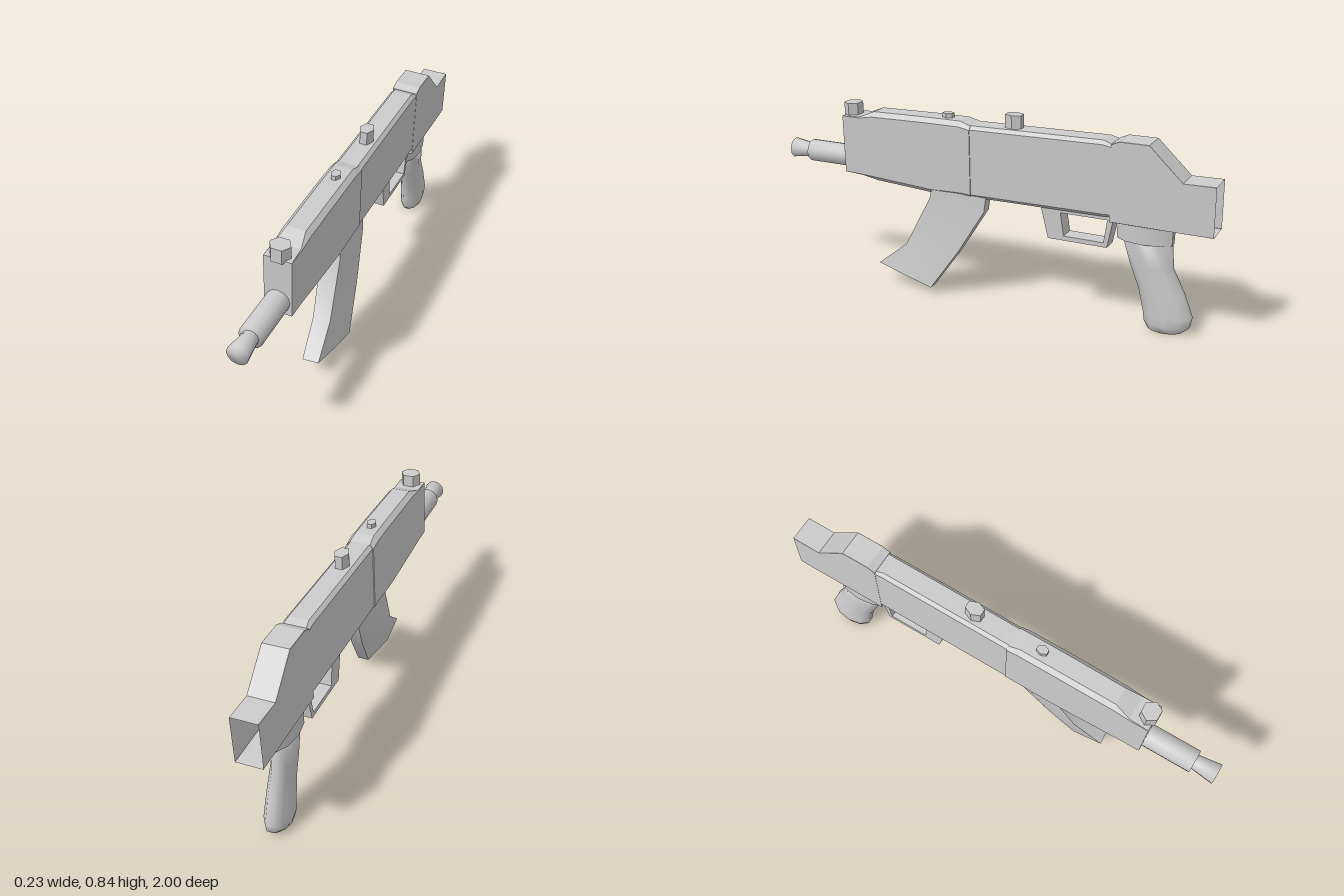
import * as THREE from 'three';
import { toCreasedNormals } from 'three/addons/utils/BufferGeometryUtils.js';

const smooth = new THREE.MeshStandardMaterial({ color: 0xcccccc, side: THREE.DoubleSide });
const flat = new THREE.MeshStandardMaterial({ color: 0xcccccc, side: THREE.DoubleSide, flatShading: true });

// Skin a list of equal-length rings, optionally closing either end
function loft(rings, capStart = true, capEnd = true) {
  const n = rings[0].length, last = (rings.length - 1) * n, index = [];
  for (let i = 0; i < rings.length - 1; i++) {
    for (let j = 0; j < n; j++) {
      const a = i * n + j, b = i * n + (j + 1) % n;
      index.push(a, b, a + n, b, b + n, a + n);
    }
  }
  for (let j = 1; j < n - 1; j++) {
    if (capStart) index.push(0, j + 1, j);
    if (capEnd) index.push(last, last + j, last + j + 1);
  }
  const g = new THREE.BufferGeometry();
  g.setAttribute('position', new THREE.Float32BufferAttribute(rings.flat(2), 3));
  g.setIndex(index);
  g.computeVertexNormals();
  return g;
}

// Upright box section with chamfered corners, clockwise seen from the front
function section(z, bottom, top, w, c) {
  return [
    [-w, bottom + c, z], [-w, top - c, z], [-w + c, top, z], [w - c, top, z],
    [w, top - c, z], [w, bottom + c, z], [w - c, bottom, z], [-w + c, bottom, z],
  ];
}

export function createModel() {
  const model = new THREE.Group();
  const body = new THREE.Group();
  body.name = 'body';
  body.position.x = -0.03;
  body.rotation.set(0, -0.064, -0.037);
  model.add(body);

  const add = (parent, name, geometry, material) => {
    const mesh = new THREE.Mesh(geometry, material);
    mesh.name = name;
    parent.add(mesh);
    return mesh;
  };

  // Long housing in three pieces; the rear one is an open shell
  add(body, 'handguard', loft([
    section(0.685, 0.495, 0.755, 0.058, 0.001),
    section(0.6, 0.49, 0.757, 0.058, 0.004),
    section(0.53, 0.47, 0.785, 0.059, 0.02),
    section(0.25, 0.453, 0.79, 0.06, 0.02),
    section(0.1, 0.458, 0.79, 0.06, 0.02),
    section(0.05, 0.46, 0.775, 0.06, 0.015),
  ]), flat);
  add(body, 'receiver', loft([
    section(0.06, 0.46, 0.776, 0.056, 0.015),
    section(-0.54, 0.466, 0.785, 0.056, 0.015),
    section(-0.59, 0.475, 0.768, 0.056, 0.008),
  ]), flat);
  add(body, 'rearHousing', loft([
    section(-0.575, 0.452, 0.775, 0.057, 0.001),
    section(-0.61, 0.452, 0.79, 0.057, 0.001),
    section(-0.73, 0.452, 0.79, 0.057, 0.001),
    section(-0.87, 0.655, 0.655, 0.057, 0).map(([x, y, z], i) =>
      [x, i === 0 || i > 4 ? 0.452 : y, z]),
    section(-1, 0.452, 0.658, 0.057, 0.001),
  ], true, false), flat);

  // Barrel and flared muzzle
  const tube = (name, pts) => {
    const g = new THREE.LatheGeometry(pts.map(p => new THREE.Vector2(...p)), 12);
    g.rotateX(Math.PI / 2);
    add(body, name, g, smooth).position.y = 0.555;
  };
  tube('barrel', [[0.05, 0.66], [0.05, 0.9], [0, 0.9]]);
  tube('muzzle', [[0.033, 0.89], [0.033, 0.91], [0.045, 0.999], [0, 1]]);

  // Six-sided sight posts: name, z, base, top, half width, half depth
  for (const [name, z, y0, y1, w, d] of [
    ['frontSight', 0.66, 0.745, 0.808, 0.044, 0.035],
    ['sightStud', 0.178, 0.78, 0.809, 0.02, 0.023],
    ['rearSight', -0.133, 0.77, 0.836, 0.031, 0.036],
  ]) {
    const g = new THREE.CylinderGeometry(1, 1, y1 - y0, 6).rotateY(Math.PI / 6);
    g.scale(w, 1, d / 0.866);
    add(body, name, g, flat).position.set(0, (y0 + y1) / 2, z);
  }

  // Trigger guard: plate with a tapered window, drawn in z and y
  const polygon = (Type, pts) => new Type(pts.map(p => new THREE.Vector2(-p[0], p[1])));
  const guard = polygon(THREE.Shape, [[-0.265, 0.475], [-0.3, 0.33], [-0.56, 0.33], [-0.59, 0.475]]);
  guard.holes.push(polygon(THREE.Path, [[-0.355, 0.45], [-0.37, 0.35], [-0.545, 0.35], [-0.56, 0.45]]));
  add(body, 'triggerGuard', new THREE.ExtrudeGeometry(guard, { depth: 0.07, bevelEnabled: false })
    .translate(0, 0, -0.035).rotateY(Math.PI / 2), flat);

  // Rounded grip under a collar; rows are y, front z, rear z, half width
  const ovals = rows => rows.map(([y, zf, zr, w]) => Array.from({ length: 10 }, (_, i) => {
    const a = i / 10 * Math.PI * 2;
    return [w * Math.cos(a), y, (zf + zr) / 2 + (zf - zr) / 2 * Math.sin(a)];
  }));
  add(body, 'gripCollar', toCreasedNormals(loft(ovals([
    [0.46, -0.585, -0.835, 0.052], [0.375, -0.592, -0.832, 0.052],
  ])), 1), smooth);
  add(body, 'grip', loft(ovals([
    [0.4, -0.61, -0.825, 0.044], [0.27, -0.65, -0.835, 0.043], [0.17, -0.69, -0.885, 0.046],
    [0.07, -0.712, -0.922, 0.051], [0.03, -0.718, -0.915, 0.051], [0, -0.735, -0.88, 0.042],
  ])), smooth);

  // Curved magazine, twisting slightly outward as it descends:
  // front z and y, rear z and y, amount of twist
  const magazineRings = [
    [0.245, 0.48, -0.015, 0.48, 0],
    [0.255, 0.43, -0.005, 0.4, 0.1],
    [0.375, 0.2, 0.11, 0.21, 0.6],
    [0.515, 0.09, 0.24, 0.025, 1],
  ].map(([zf, yf, zr, yr, s]) => [
    [0.035 + 0.03 * s, 1], [0.035 + 0.015 * s, 0.5], [0.03, 0],
    [-0.055 + 0.015 * s, 0], [-0.05 + 0.015 * s, 0.5], [-0.02 + 0.035 * s, 1],
  ].map(([x, t]) => [x, yf + (yr - yf) * t, zf + (zr - zf) * t]));
  add(model, 'magazine', toCreasedNormals(loft(magazineRings), 0.5), smooth);

  return model;
}
